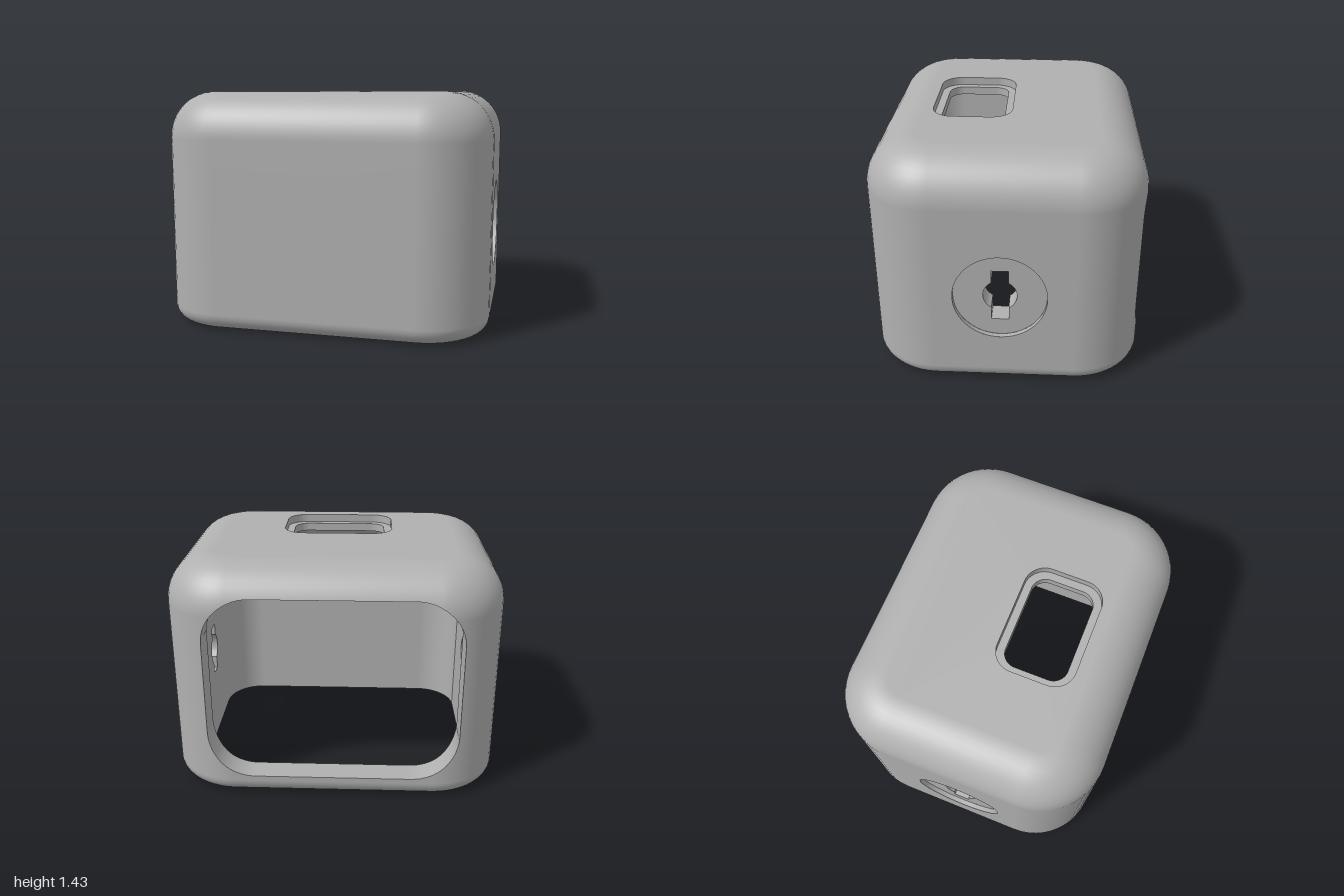
import * as THREE from 'three';
import { toCreasedNormals } from 'three/addons/utils/BufferGeometryUtils.js';

const CX = 0.6, CZ = 0.407, R = 0.4;          // plan corner centres and radius
const TOP = 1.43, ROOF = 1.33, SPRING = 1.15; // outer top, inner ceiling, start of top fillets
const WALL = 0.155, FOOT = 0.1;               // wall thickness, bottom fillet
const BORE = { y: 0.6, z: 0.023, r: 0.27, floor: 0.97 };
const OPEN = { y: 0.695, w: 0.75, h: 0.565, r: 0.28 };
const WINDOW_Z = 0.23;

const grey = new THREE.MeshStandardMaterial({ color: 0xb0b0b0, side: THREE.DoubleSide });
grey.name = 'grey plastic';

function addMesh(parent, name, geometry) {
  const mesh = new THREE.Mesh(geometry, grey);
  mesh.name = name;
  parent.add(mesh);
}

function roundedRect(w, h, r) {
  const s = new THREE.Shape();
  s.absarc(w - r, h - r, r, 0, Math.PI / 2);
  s.absarc(r - w, h - r, r, Math.PI / 2, Math.PI);
  s.absarc(r - w, r - h, r, Math.PI, Math.PI * 1.5);
  s.absarc(w - r, r - h, r, Math.PI * 1.5, Math.PI * 2);
  s.closePath();
  return s;
}

function circle(r) {
  return new THREE.Shape().absarc(0, 0, r, 0, Math.PI * 2);
}

// round hole with a slot above and below
function keyhole() {
  const r = 0.0975, w = 0.05, h = 0.163, a = Math.acos(w / r);
  const s = new THREE.Shape();
  s.absarc(0, 0, r, -a, a);
  s.lineTo(w, h);
  s.lineTo(-w, h);
  s.absarc(0, 0, r, Math.PI - a, Math.PI + a);
  s.lineTo(-w, -h);
  s.lineTo(w, -h);
  s.closePath();
  return s;
}

// flat sheet with an optional hole, placed by a map from 2D to 3D
function sheet(outline, hole, map) {
  const shape = new THREE.Shape(outline.getPoints(24));
  if (hole) shape.holes.push(new THREE.Path(hole.points));
  const g = new THREE.ShapeGeometry(shape);
  const p = g.attributes.position;
  for (let i = 0; i < p.count; i++) p.setXYZ(i, ...map(p.getX(i), p.getY(i)));
  g.computeVertexNormals();
  return g;
}

const contour = (shape, map = (x, y) => [x, y]) => ({
  points: shape.getPoints(24).map(v => new THREE.Vector2(...map(v.x, v.y))),
});

// wall of a hole, between two placements of one contour
function holeWall(points, mapA, mapB) {
  const pos = [];
  points.forEach((p, i) => {
    const q = points[(i + 1) % points.length];
    if (p.distanceTo(q) < 1e-6) return;
    const a = mapA(p.x, p.y), b = mapA(q.x, q.y), c = mapB(p.x, p.y), d = mapB(q.x, q.y);
    pos.push(...a, ...b, ...c, ...b, ...d, ...c);
  });
  const g = new THREE.BufferGeometry();
  g.setAttribute('position', new THREE.Float32BufferAttribute(pos, 3));
  return toCreasedNormals(g, 0.6);
}

// plan loop: corner arcs joined by subdivided straights
function planLoop() {
  const loop = [], signs = [[1, 1], [-1, 1], [-1, -1], [1, -1]];
  signs.forEach(([sx, sz], k) => {
    for (let i = 0; i <= 12; i++) {
      const a = (k + i / 12) * Math.PI / 2;
      loop.push({ x: sx * CX, z: sz * CZ, nx: Math.cos(a), nz: Math.sin(a) });
    }
    const [tx, tz] = signs[(k + 1) % 4], last = loop[loop.length - 1];
    for (let i = 1; i < 32; i++) {
      const t = i / 32;
      loop.push({ ...last, x: CX * (sx + (tx - sx) * t), z: CZ * (sz + (tz - sz) * t) });
    }
  });
  return loop;
}

// side profile: foot fillet, straight wall, top fillet
function profile(inset, foot, fillet) {
  const rows = [];
  const arc = (y, r, from, to) => {
    for (let i = 0; i <= 12; i++) {
      const a = from + (to - from) * i / 12;
      rows.push({ y: y + r * Math.sin(a), d: inset + r * (1 - Math.cos(a)), a });
    }
  };
  if (foot) arc(foot, foot, -Math.PI / 2, 0);
  else rows.push({ y: 0, d: inset, a: 0 });
  for (let i = 1; i < 40; i++) rows.push({ y: foot + (SPRING - foot) * i / 40, d: inset, a: 0 });
  arc(SPRING, fillet, 0, Math.PI / 2);
  return rows;
}

// sweeps the profile round the plan and trims it where keep(x, y, z) is negative
function trimmedSkin(rows, keep, inward) {
  const loop = planLoop(), pos = [], nor = [], sign = inward ? -1 : 1;
  const vertex = (c, row) => {
    const r = R - row.d, k = Math.cos(row.a) * sign;
    const p = [c.x + c.nx * r, row.y, c.z + c.nz * r];
    return { v: [...p, c.nx * k, Math.sin(row.a) * sign, c.nz * k], g: keep(...p) };
  };
  const grid = rows.map(row => loop.map(c => vertex(c, row)));
  const emit = tri => {
    const poly = [];
    tri.forEach((a, i) => {
      const b = tri[(i + 1) % 3];
      if (a.g >= 0) poly.push(a.v);
      if ((a.g >= 0) !== (b.g >= 0)) {
        const t = a.g / (a.g - b.g);
        poly.push(a.v.map((n, k) => n + (b.v[k] - n) * t));
      }
    });
    for (let i = 2; i < poly.length; i++) {
      const order = inward ? [0, i, i - 1] : [0, i - 1, i];
      order.forEach(k => { pos.push(...poly[k].slice(0, 3)); nor.push(...poly[k].slice(3)); });
    }
  };
  for (let j = 0; j + 1 < rows.length; j++) {
    for (let i = 0; i < loop.length; i++) {
      const n = (i + 1) % loop.length;
      emit([grid[j][i], grid[j + 1][i], grid[j][n]]);
      emit([grid[j][n], grid[j + 1][i], grid[j + 1][n]]);
    }
  }
  const g = new THREE.BufferGeometry();
  g.setAttribute('position', new THREE.Float32BufferAttribute(pos, 3));
  g.setAttribute('normal', new THREE.Float32BufferAttribute(nor, 3));
  return g;
}

// signed distances: rear opening and a round cut in each side
function keepOutside(radius) {
  return (x, y, z) => {
    const qx = Math.abs(x) - OPEN.w + OPEN.r, qy = Math.abs(y - OPEN.y) - OPEN.h + OPEN.r;
    const rear = Math.hypot(Math.max(qx, 0), Math.max(qy, 0)) + Math.min(Math.max(qx, qy), 0) - OPEN.r;
    const side = Math.hypot(y - BORE.y, z - BORE.z) - radius;
    return Math.min(z < -0.1 ? rear : 9, Math.abs(x) > 0.8 ? side : 9);
  };
}

// rear skin depth at x, y
function rearPoint(inset, fillet) {
  return (x, y) => {
    const up = Math.max(0, y - SPRING);
    const r = R - inset - fillet + Math.sqrt(fillet * fillet - up * up);
    const over = Math.max(0, Math.abs(x) - CX);
    return [x, y, -CZ - Math.sqrt(r * r - over * over)];
  };
}

export function createModel() {
  const model = new THREE.Group();
  model.name = 'protectiveHousing';
  const outerFillet = TOP - SPRING, innerFillet = ROOF - SPRING, innerR = 0.2;
  const plan = d => roundedRect(CX + R - d, CZ + R - d, R - d);
  const level = y => (x, z) => [x, y, z];

  // shell skins
  addMesh(model, 'outerShell', trimmedSkin(profile(0, FOOT, outerFillet), keepOutside(BORE.r), false));
  addMesh(model, 'innerShell', trimmedSkin(profile(WALL, 0, innerFillet), keepOutside(innerR), true));
  addMesh(model, 'bottomRim', sheet(plan(FOOT), contour(plan(WALL)), level(0)));

  // roof with a stepped window
  const shift = (x, z) => [x, z + WINDOW_Z];
  const recess = contour(roundedRect(0.345, 0.24, 0.13), shift);
  const pane = contour(roundedRect(0.297, 0.192, 0.09), shift);
  const ledge = 1.38;
  addMesh(model, 'roofTop', sheet(plan(outerFillet), recess, level(TOP)));
  addMesh(model, 'windowRecessWall', holeWall(recess.points, level(TOP), level(ledge)));
  addMesh(model, 'windowLedge', sheet(new THREE.Shape(recess.points), pane, level(ledge)));
  addMesh(model, 'windowWall', holeWall(pane.points, level(ledge), level(ROOF)));
  addMesh(model, 'ceiling', sheet(plan(WALL + innerFillet), pane, level(ROOF)));

  // rear opening
  const opening = roundedRect(OPEN.w, OPEN.h, OPEN.r).getSpacedPoints(240)
    .map(p => new THREE.Vector2(p.x, p.y + OPEN.y));
  addMesh(model, 'rearOpeningWall',
    holeWall(opening, rearPoint(0, outerFillet), rearPoint(WALL, innerFillet)));

  // round recess and keyhole in each side
  for (const s of [1, -1]) {
    const side = new THREE.Group();
    side.name = s > 0 ? 'leftMount' : 'rightMount';
    const at = x => (p, q) => [s * x, BORE.y + q, BORE.z + p];
    const key = contour(keyhole()), inner = CX + R - WALL;
    addMesh(side, 'mountRecessWall', holeWall(circle(BORE.r).getPoints(48), at(1), at(BORE.floor)));
    addMesh(side, 'mountRecessFloor', sheet(circle(BORE.r), key, at(BORE.floor)));
    addMesh(side, 'keyholeWall', holeWall(key.points, at(BORE.floor), at(inner)));
    addMesh(side, 'innerKeyholeFace', sheet(circle(innerR + 0.002), key, at(inner)));
    model.add(side);
  }
  return model;
}
